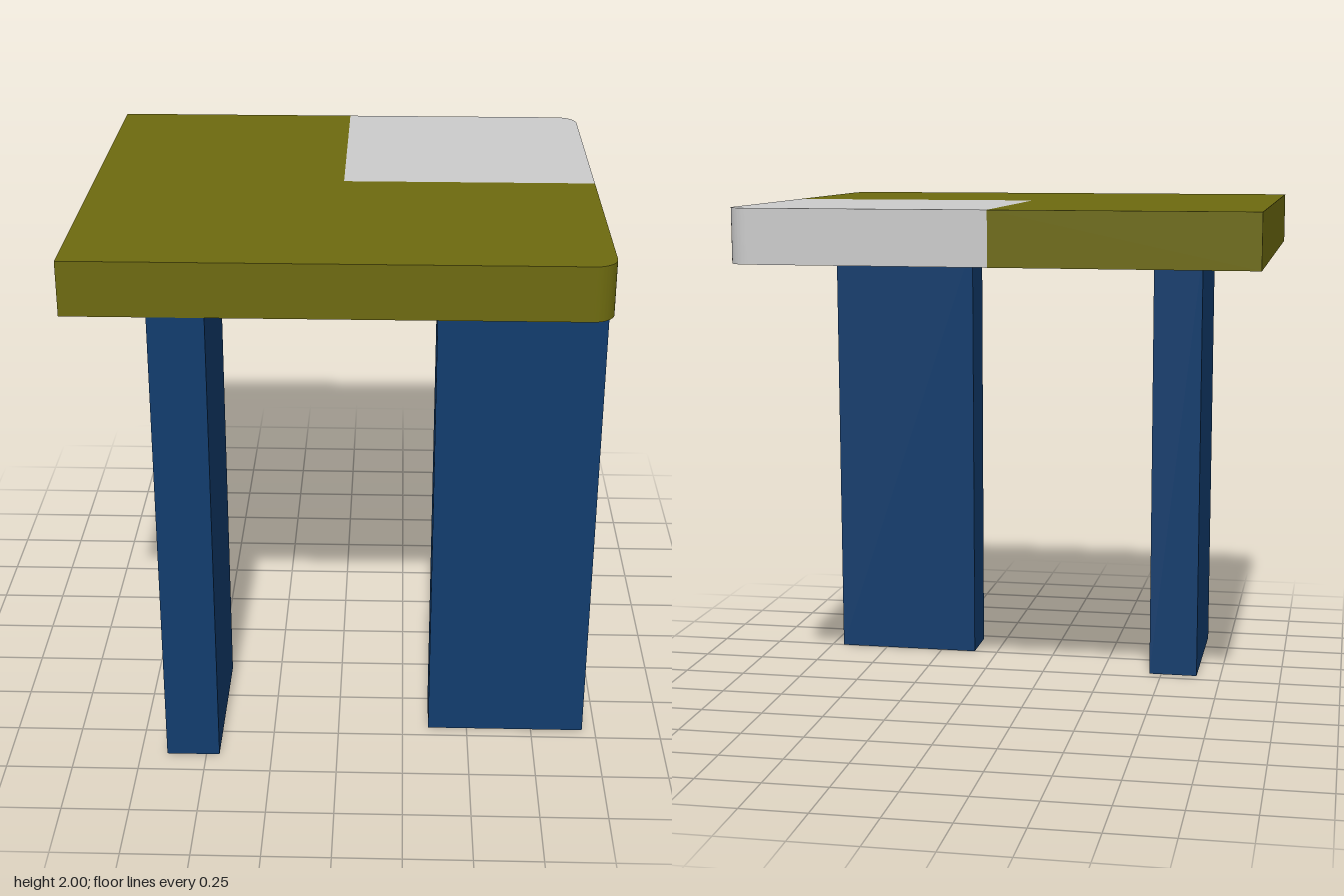
import * as THREE from 'three';
import { toCreasedNormals } from 'three/addons/utils/BufferGeometryUtils.js';

const olive = new THREE.MeshStandardMaterial({ color: 0x6d6a0f });
const blue = new THREE.MeshStandardMaterial({ color: 0x113c6d });
const grey = new THREE.MeshStandardMaterial({ color: 0xcccccc });

const X = 0.95, Z = 0.9, R = 0.08; // half width, half depth, corner radius
const LEG = 1.8, TOP = 0.2; // leg height, slab thickness

// Slab section: outline drawn with y pointing to the back, laid flat on the legs
function slab(name, shape, material) {
  const flat = new THREE.ExtrudeGeometry(shape, { depth: TOP, bevelEnabled: false, curveSegments: 10 });
  flat.rotateX(-Math.PI / 2).translate(0, LEG, 0);
  const mesh = new THREE.Mesh(toCreasedNormals(flat, 0.6), material);
  mesh.name = name;
  return mesh;
}

// Blue plank leg with bare grey ends
function leg(name, width, depth, x, z) {
  const mesh = new THREE.Mesh(
    new THREE.BoxGeometry(width, LEG, depth),
    [blue, blue, grey, grey, blue, blue]
  );
  mesh.position.set(x, LEG / 2, z);
  mesh.name = name;
  return mesh;
}

export function createModel() {
  const table = new THREE.Group();
  table.name = 'table';

  // L-shaped main part of the top, rounded at its front left corner
  const main = new THREE.Shape();
  main.moveTo(-X, -Z);
  main.lineTo(X - R, -Z);
  main.absarc(X - R, -Z + R, R, -Math.PI / 2, 0);
  main.lineTo(X, 0);
  main.lineTo(0, 0);
  main.lineTo(0, Z);
  main.lineTo(-X, Z);
  main.closePath();

  // Back left quarter of the top, rounded at its outer corner
  const quarter = new THREE.Shape();
  quarter.moveTo(0, 0);
  quarter.lineTo(X, 0);
  quarter.lineTo(X, Z - R);
  quarter.absarc(X - R, Z - R, R, 0, Math.PI / 2);
  quarter.lineTo(0, Z);
  quarter.closePath();

  table.add(
    slab('tableTop', main, olive),
    slab('tableTopQuarter', quarter, grey),
    leg('rightLeg', 0.2, 0.6, -0.55, 0.6),
    leg('leftLeg', 0.6, 0.2, 0.65, 0.6)
  );
  return table;
}
